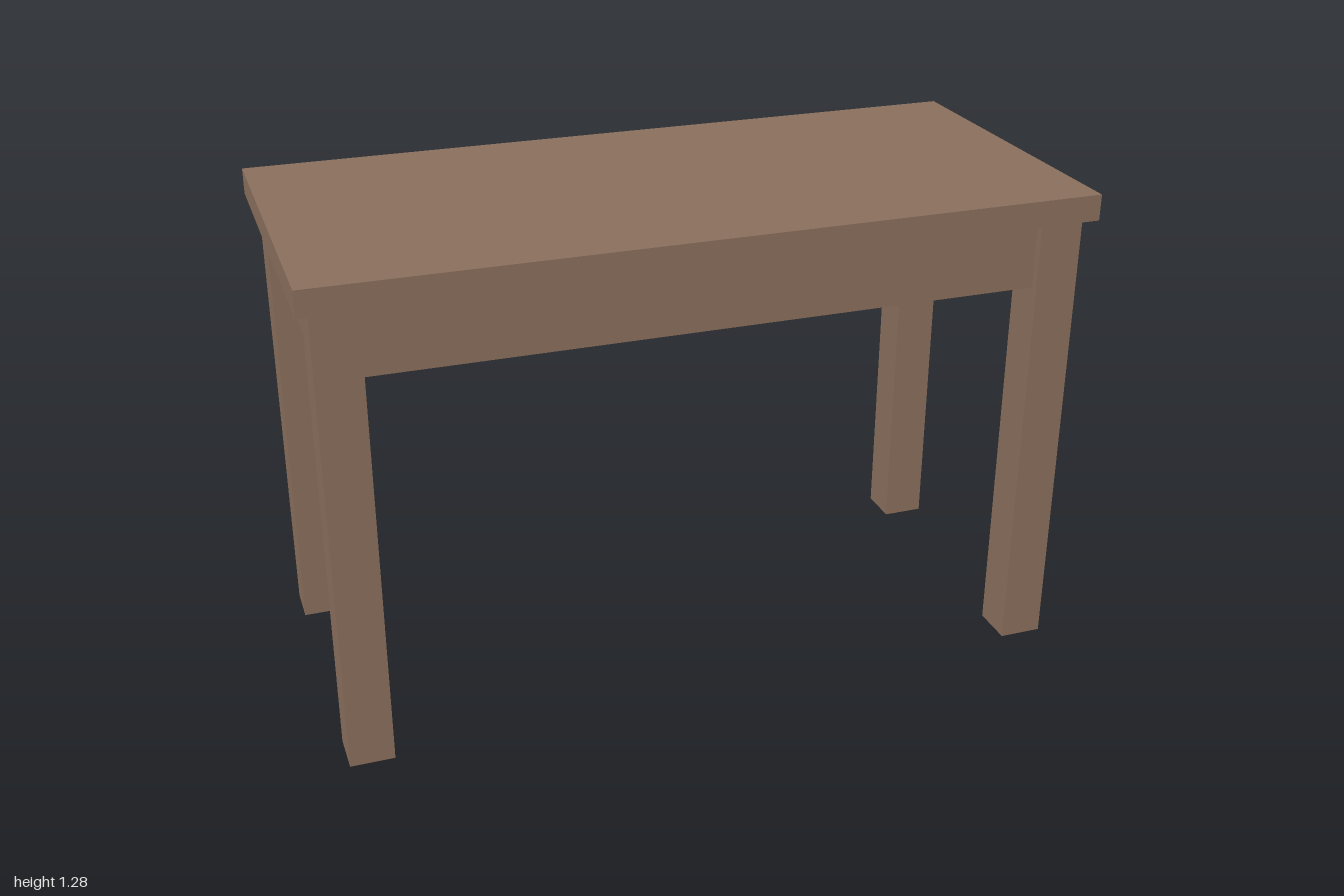
import * as THREE from 'three';

export function createModel() {
  const table = new THREE.Group();
  table.name = 'table';
  const wood = new THREE.MeshStandardMaterial({ color: 0x896e5b });
  wood.name = 'brown wood';

  // Adds a box from its size and centre
  function board(name, w, h, d, x, y, z) {
    const mesh = new THREE.Mesh(new THREE.BoxGeometry(w, h, d), wood);
    mesh.name = name;
    mesh.position.set(x, y, z);
    table.add(mesh);
  }

  const topHeight = 1.285, legHeight = 1.217, legSize = 0.114;
  const legX = 0.913, legZ = 0.372; // leg centres
  const apronHeight = 0.18, apronThick = 0.037;
  const apronY = legHeight - apronHeight / 2;
  const apronOut = 0.016; // apron centre lies slightly outside the leg centre

  // Table top
  board('tableTop', 2, topHeight - legHeight, 0.914, 0, (topHeight + legHeight) / 2, 0);

  for (const s of [1, -1]) {
    // Legs
    for (const t of [1, -1]) {
      board((t > 0 ? 'front' : 'back') + (s > 0 ? 'Left' : 'Right') + 'Leg',
        legSize, legHeight, legSize, s * legX, legHeight / 2, t * legZ);
    }
    // Aprons spanning between the legs
    board(s > 0 ? 'frontApron' : 'backApron',
      2 * legX - legSize, apronHeight, apronThick, 0, apronY, s * (legZ + apronOut));
    board(s > 0 ? 'leftApron' : 'rightApron',
      apronThick, apronHeight, 2 * legZ - legSize, s * (legX + apronOut), apronY, 0);
  }
  return table;
}
